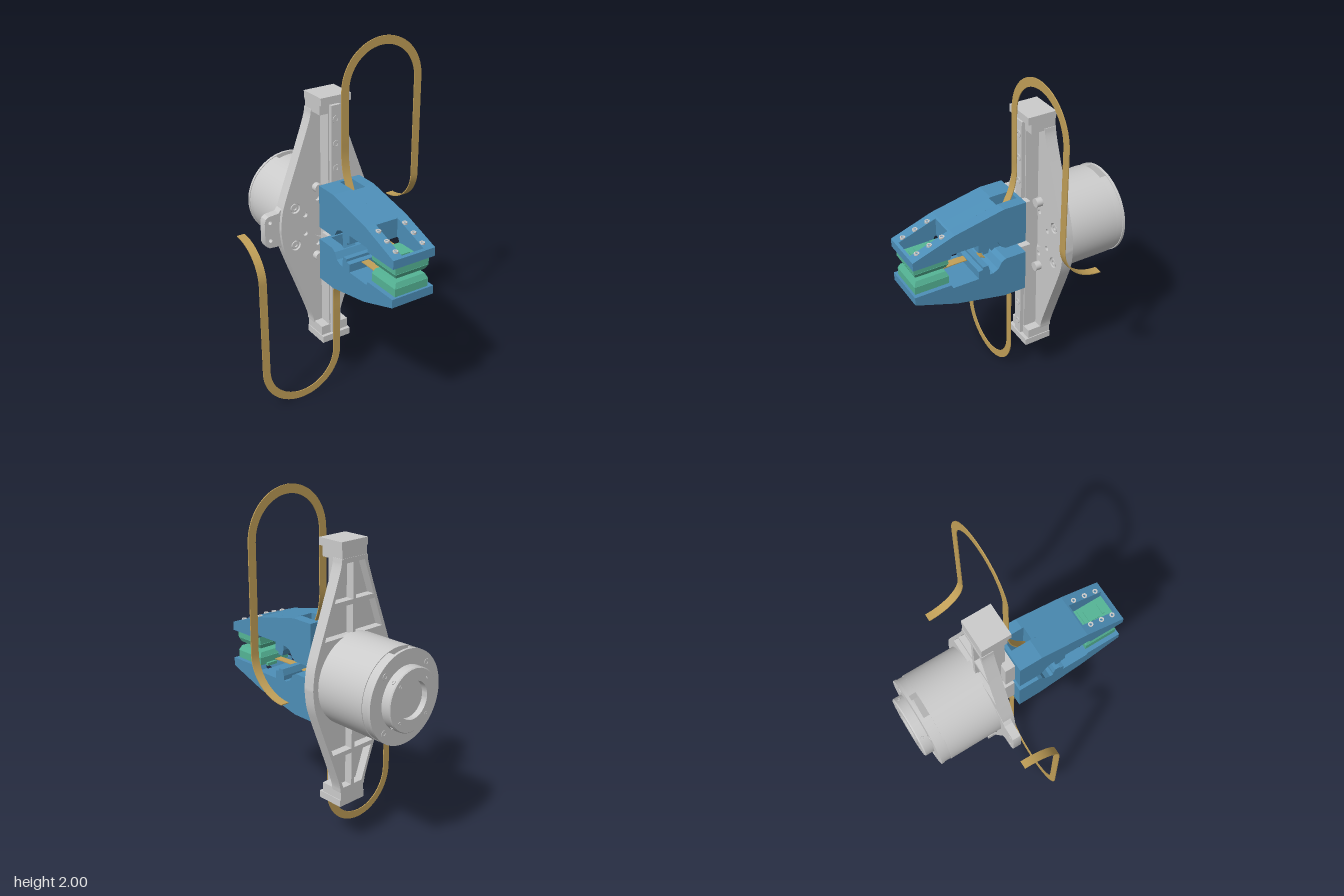
import * as THREE from 'three';
import { toCreasedNormals } from 'three/addons/utils/BufferGeometryUtils.js';

const V2 = (x, y) => new THREE.Vector2(x, y);
const V3 = (x, y, z) => new THREE.Vector3(x, y, z);
const mat = (color) => new THREE.MeshStandardMaterial({ color });
const grey = mat(0xcccccc), blue = mat(0x4d8fb8), green = mat(0x55b596), gold = mat(0xc2a058);

function add(group, name, geometry, material) {
  const mesh = new THREE.Mesh(geometry, material);
  mesh.name = name;
  group.add(mesh);
  return mesh;
}

// Box given by its limits on each axis
function box(group, name, material, x0, x1, y0, y1, z0, z1) {
  const g = new THREE.BoxGeometry(x1 - x0, y1 - y0, z1 - z0);
  g.translate((x0 + x1) / 2, (y0 + y1) / 2, (z0 + z1) / 2);
  return add(group, name, g, material);
}

const toShape = (pts) => new THREE.Shape(pts.map(([a, b]) => V2(a, b)));

function circle(x, y, r) {
  return new THREE.Path().absarc(x, y, r, 0, Math.PI * 2, true);
}

// Outline in x, y extruded between two z values
function plate(group, name, material, shape, z0, z1) {
  const g = new THREE.ExtrudeGeometry(shape, { depth: z1 - z0, bevelEnabled: false, curveSegments: 16 });
  g.translate(0, 0, z0);
  return add(group, name, toCreasedNormals(g, 0.5), material);
}

// Outline in z, y extruded between two x values
function slice(group, name, material, pts, x0, x1) {
  const g = new THREE.ExtrudeGeometry(toShape(pts), { depth: x1 - x0, bevelEnabled: false });
  g.rotateY(-Math.PI / 2).translate(x1, 0, 0);
  return add(group, name, g, material);
}

// Turned part on the z axis; points are radius and distance behind the origin
function turned(group, name, pts) {
  const g = new THREE.LatheGeometry(pts.map(([r, d]) => V2(r, d)), 64);
  g.rotateX(-Math.PI / 2);
  return add(group, name, toCreasedNormals(g, 0.5), grey);
}

// Screw head with a socket, facing +z
function screw(group, x, y, z, r, h = 0.012) {
  const pts = [V2(r, -h), V2(r, 0), V2(r * 0.5, 0), V2(r * 0.5, -h * 0.7), V2(0, -h * 0.7)];
  const g = toCreasedNormals(new THREE.LatheGeometry(pts, 16).rotateX(Math.PI / 2), 0.5);
  const m = add(group, 'screw', g, grey);
  m.position.set(x, y, z);
  return m;
}

// Flat strip swept along points with a width direction at each
function strip(path, width, thick) {
  const pos = [], idx = [], n = path.length;
  path.forEach(({ p, w }, i) => {
    const t = path[Math.min(i + 1, n - 1)].p.clone().sub(path[Math.max(i - 1, 0)].p).normalize();
    const up = t.cross(w).normalize();
    for (const [a, b] of [[-1, -1], [1, -1], [1, 1], [-1, 1]])
      pos.push(...p.clone().addScaledVector(w, a * width / 2).addScaledVector(up, b * thick / 2).toArray());
  });
  for (let i = 0; i < n - 1; i++)
    for (let k = 0; k < 4; k++) {
      const a = i * 4 + k, b = i * 4 + (k + 1) % 4;
      idx.push(a, b, a + 4, b, b + 4, a + 4);
    }
  const e = (n - 1) * 4;
  idx.push(0, 2, 1, 0, 3, 2, e, e + 1, e + 2, e, e + 2, e + 3);
  const g = new THREE.BufferGeometry();
  g.setAttribute('position', new THREE.Float32BufferAttribute(pos, 3));
  g.setIndex(idx);
  return toCreasedNormals(g, 0.6);
}

function makeRibbon(group) {
  const path = [], X = V3(1, 0, 0), x = 0.0275, cx = 0.255, r = 0.2275;
  const inner = new THREE.CatmullRomCurve3([[0.07, 0.43], [0.067, 0.28], [0.08, 0.17], [0.15, 0.09],
    [0.25, 0.035], [0.32, 0.006], [0.4, -0.008], [0.5, -0.008]].map(([y, z]) => V3(x, y, z)));
  inner.getPoints(40).forEach((p) => path.push({ p, w: X }));
  for (let i = 0; i <= 32; i++) {
    const a = Math.PI * (1 - i / 32), d = V3(Math.cos(a), Math.sin(a), 0);
    path.push({ p: V3(cx, 0.75, -0.008).addScaledVector(d, r), w: d.clone().negate() });
  }
  for (let i = 0; i <= 16; i++) {
    const a = (i / 16) * Math.PI / 2;
    path.push({ p: V3(cx + r, 0.2 * (1 - Math.sin(a)), -0.008 - 0.22 * (1 - Math.cos(a))), w: X.clone().negate() });
  }
  const m = add(group, 'ribbonCable', strip(path, 0.045, 0.005), gold.clone());
  m.material.side = THREE.DoubleSide;
}

function makeFinger(group) {
  // underside from the relief behind the clip to the tip step
  const relief = [[0.125, 0.05], [0.145, 0.085], [0.175, 0.1], [0.195, 0.1], [0.195, 0.075], [0.205, 0.04],
    [0.235, 0.04], [0.235, 0.055], [0.26, 0.06], [0.26, 0.105]];
  const rear = [[-0.02, 0.035], [0.1, 0.035]], back = [[0.39, 0.213], [0.11, 0.273], [-0.02, 0.273]];
  const tip = [[0.41, 0.105], [0.42, 0.083], [0.625, 0.083], [0.625, 0.13]];
  const behind = [[0.4, 0.105], [0.4, 0.209]];
  for (const [x0, x1] of [[-0.125, -0.065], [0.065, 0.125]])
    slice(group, 'fingerSide', blue, [...rear, ...relief, ...tip, ...back], x0, x1);
  // middle with the open tip pocket, then with the cable slot too
  slice(group, 'fingerCore', blue, [...rear, ...relief, ...behind, ...back], -0.065, -0.01);
  slice(group, 'fingerCoreSlotted', blue, [[0.12, 0.047], ...relief, ...behind, [0.39, 0.213], [0.12, 0.271]], -0.01, 0.065);
  box(group, 'slotRearWall', blue, -0.01, 0.065, 0.035, 0.273, -0.02, 0);
  slice(group, 'tipLip', blue, [[0.61, 0.083], [0.625, 0.083], [0.625, 0.13], [0.61, 0.135]], -0.065, 0.065);
  for (const x of [-0.08, 0.08])
    for (const z of [0.44, 0.51, 0.58]) {
      const s = screw(group, x, 0.13 + (0.625 - z) * 0.353 + 0.006, z, 0.014, 0.02);
      s.rotation.x = -Math.PI / 2;
    }
}

// Padded sensor at the finger tip
function makeSensor(group) {
  box(group, 'sensorBody', green, -0.1, 0.1, 0.04, 0.083, 0.42, 0.612);
  const pad = new THREE.CylinderGeometry(Math.SQRT1_2, 0.62, 1, 4).toNonIndexed();
  pad.rotateY(Math.PI / 4).scale(0.2, 0.026, 0.192).translate(0, 0.025, 0.516);
  pad.computeVertexNormals();
  add(group, 'sensorPad', pad, green);
  box(group, 'sensorCover', green, -0.06, 0.06, 0.08, 0.09, 0.45, 0.61);
  box(group, 'sensorChip', green, -0.035, 0.035, 0.09, 0.096, 0.475, 0.545);
  box(group, 'sensorPort', green, -0.03, 0.03, 0.09, 0.096, 0.56, 0.578);
  box(group, 'sensorSocket', green, -0.06, 0.005, 0.075, 0.092, 0.405, 0.445);
}

// End block, rail screws and carriage of one arm
function makeArmFittings(group) {
  box(group, 'endCap', grey, -0.09, 0.09, 0.685, 0.725, -0.21, -0.05);
  box(group, 'endBlock', grey, -0.085, 0.085, 0.63, 0.685, -0.21, -0.07);
  box(group, 'carriage', grey, -0.078, 0.073, 0.035, 0.233, -0.078, -0.02);
  for (const y of [0.33, 0.465, 0.6]) screw(group, 0, y, -0.046, 0.02);
  for (const x of [-0.065, 0.065]) {
    const boss = add(group, 'boss', new THREE.CylinderGeometry(0.025, 0.025, 0.035, 20), grey);
    boss.rotation.x = Math.PI / 2;
    boss.position.set(x, 0.205, -0.13);
  }
}

function makeBasePlate(group) {
  const arm = new THREE.SplineCurve([[0.284, 0], [0.272, 0.1], [0.24, 0.2], [0.165, 0.4], [0.1, 0.58], [0.088, 0.64]]
    .map(([x, y]) => V2(x, y))).getPoints(30).map((p) => [p.x, p.y]);
  const half = [...arm, ...arm.slice().reverse().map(([x, y]) => [-x, y])];
  const outline = [...half, ...half.slice(1, -1).map(([x, y]) => [-x, -y])];
  const skin = toShape(outline), frame = toShape(outline);
  for (const x of [-0.195, 0.195])
    for (const y of [-0.11, 0.11]) {
      skin.holes.push(circle(x, y, 0.03));
      screw(group, x, y, -0.15, 0.022);
    }
  skin.holes.push(circle(0, 0, 0.11));
  for (let i = 0; i < 8; i++) {
    const a = (i + 0.5) * Math.PI / 4;
    skin.holes.push(circle(0.145 * Math.cos(a), 0.145 * Math.sin(a), 0.014));
  }
  // four ribbed pockets on the rear of each arm
  const edge = (y) => 0.218 - (y - 0.25) * 0.36;
  for (const sx of [-1, 1])
    for (const sy of [-1, 1])
      for (const [y0, y1] of [[0.24, 0.4], [0.425, 0.615]])
        frame.holes.push(new THREE.Path([[0.01, y0], [edge(y0) - 0.018, y0], [edge(y1) - 0.018, y1], [0.01, y1]]
          .map(([x, y]) => V2(x * sx, y * sy))));
  plate(group, 'basePlate', grey, skin, -0.165, -0.147);
  plate(group, 'ribFrame', grey, frame, -0.212, -0.165);
  box(group, 'spine', grey, -0.035, 0.035, -0.64, 0.64, -0.15, -0.072);
  box(group, 'rail', grey, -0.028, 0.028, -0.675, 0.675, -0.072, -0.05);
  // side ear with two holes
  const side = [[-0.2, 0.17], [-0.262, 0.125], [-0.285, 0.097], [-0.345, 0.092], [-0.363, 0.08], [-0.37, 0.06]];
  const ear = toShape([...side, ...side.slice().reverse().map(([x, y]) => [x, -y])]);
  for (const y of [-0.05, 0.055]) ear.holes.push(circle(-0.338, y, 0.011));
  plate(group, 'sideEar', grey, ear, -0.214, -0.167);
}

function makeMotor(group) {
  turned(group, 'motorBody', [[0, 0.2], [0.25, 0.2], [0.25, 0.515], [0, 0.515]]);
  turned(group, 'motorCap', [[0, 0.555], [0.25, 0.555], [0.25, 0.57], [0.17, 0.57], [0.17, 0.617], [0.165, 0.623],
    [0.1, 0.623], [0.1, 0.59], [0, 0.59]]);
  // collar in two halves, leaving a window above and below
  for (const c of [0, Math.PI]) {
    const s = new THREE.Shape(), a = Math.PI / 2 - 0.285;
    s.absarc(0, 0, 0.246, c - a, c + a, false);
    s.absarc(0, 0, 0.2, c + a, c - a, true);
    plate(group, 'motorCollar', grey, s, -0.557, -0.513);
  }
  for (let i = 0; i < 4; i++) {
    const a = (i + 0.5) * Math.PI / 2, x = Math.cos(a), y = Math.sin(a);
    screw(group, 0.21 * x, 0.21 * y, -0.573, 0.018).rotation.y = Math.PI;
    screw(group, 0.135 * x, 0.135 * y, -0.625, 0.01).rotation.y = Math.PI;
    screw(group, 0.173 * x, 0.173 * y, -0.597, 0.011).lookAt(x * 2, y * 2, -0.597);
  }
}

export function createModel() {
  const model = new THREE.Group();
  model.name = 'gripper';
  const body = new THREE.Group();
  body.name = 'body';
  makeBasePlate(body);
  makeMotor(body);
  model.add(body);
  // the two jaws are half a turn apart
  for (const [name, turn] of [['upperJaw', 0], ['lowerJaw', Math.PI]]) {
    const jaw = new THREE.Group();
    jaw.name = name;
    for (const make of [makeFinger, makeSensor, makeRibbon, makeArmFittings]) make(jaw);
    jaw.rotation.z = turn;
    model.add(jaw);
  }
  for (const part of model.children) part.position.y = 1;
  return model;
}
